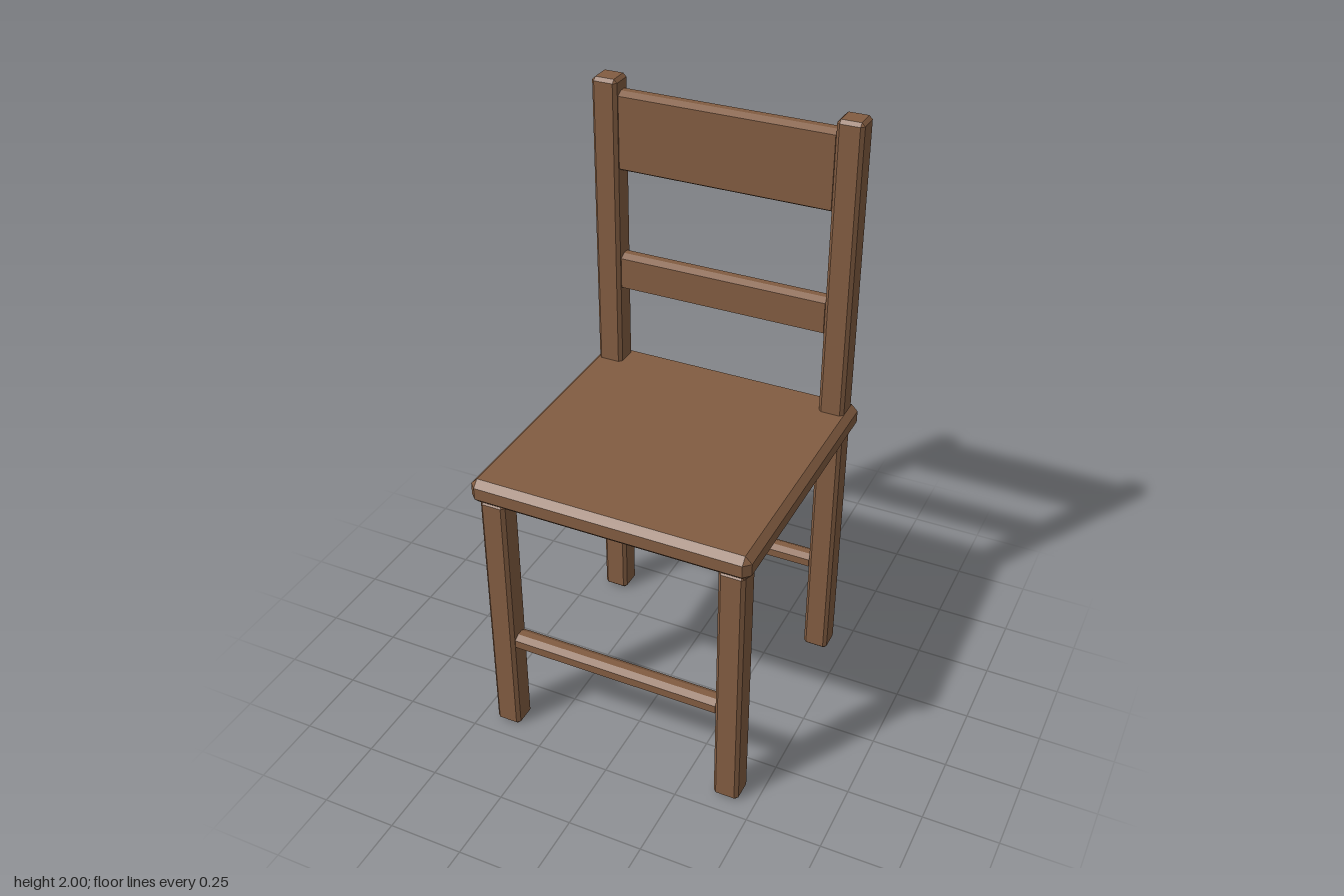
import * as THREE from 'three';
import { ConvexGeometry } from 'three/addons/geometries/ConvexGeometry.js';

// Box with chamfered edges and corners; chamfer is set per axis
function chamferBox(w, h, d, cx, cy = cx, cz = cx) {
  const x = w / 2, y = h / 2, z = d / 2;
  const points = [];
  for (const sx of [-1, 1]) for (const sy of [-1, 1]) for (const sz of [-1, 1]) {
    points.push(
      new THREE.Vector3(sx * x, sy * (y - cy), sz * (z - cz)),
      new THREE.Vector3(sx * (x - cx), sy * y, sz * (z - cz)),
      new THREE.Vector3(sx * (x - cx), sy * (y - cy), sz * z)
    );
  }
  return new ConvexGeometry(points);
}

export function createModel() {
  const chair = new THREE.Group();
  chair.name = 'chair';
  const wood = new THREE.MeshStandardMaterial({ color: 0x825c41 });
  wood.name = 'brown wood';

  const add = (name, geometry, x, y, z) => {
    const mesh = new THREE.Mesh(geometry, wood);
    mesh.name = name;
    mesh.position.set(x, y, z);
    chair.add(mesh);
  };

  // Seat
  add('seat', chamferBox(0.932, 0.085, 0.932, 0.022), 0, 0.9575, 0);

  // Short front legs and tall back posts
  for (const [side, x] of [['left', 0.401], ['right', -0.401]]) {
    add(side + 'FrontLeg', chamferBox(0.086, 0.917, 0.086, 0.011), x, 0.4585, 0.401);
    add(side + 'BackPost', chamferBox(0.086, 2, 0.086, 0.011), x, 1, -0.401);
  }

  // Cross rails between the legs: name, bottom, top, z
  const rails = [
    ['topSlat', 1.695, 1.96, -0.402],
    ['middleSlat', 1.272, 1.402, -0.402],
    ['backRung', 0.333, 0.385, -0.402],
    ['frontRung', 0.333, 0.385, 0.402],
  ];
  for (const [name, y0, y1, z] of rails) {
    add(name, chamferBox(0.724, y1 - y0, 0.065, 0.006, 0.012, 0.021), 0, (y0 + y1) / 2, z);
  }

  return chair;
}
